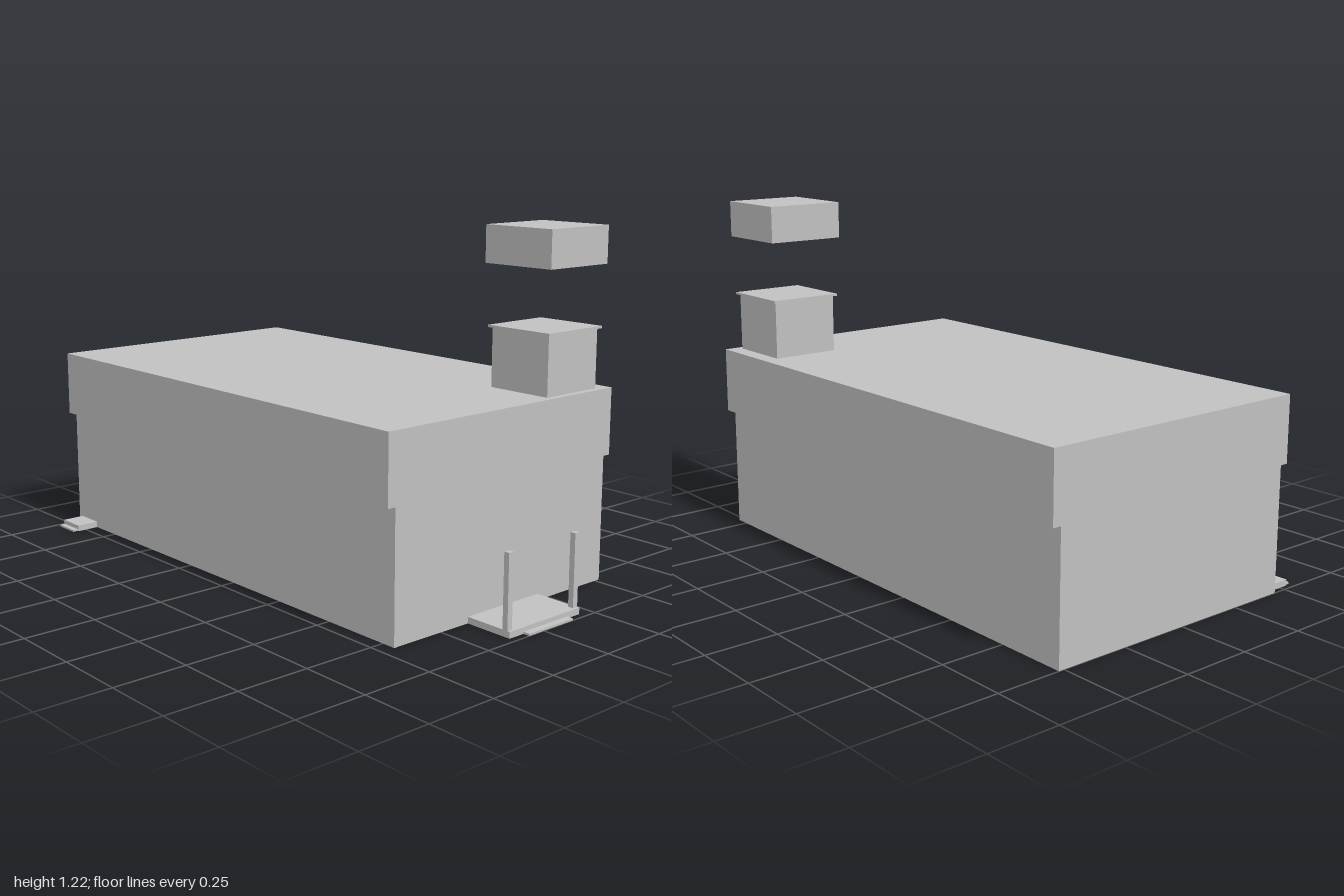
import * as THREE from 'three';

export function createModel() {
  const model = new THREE.Group();
  model.name = 'house';
  const grey = new THREE.MeshStandardMaterial({ color: 0xc0c0c0 });
  grey.name = 'light grey';

  // Box given by its extents along each axis
  const box = (name, [x0, x1], [y0, y1], [z0, z1]) => {
    const geometry = new THREE.BoxGeometry(x1 - x0, y1 - y0, z1 - z0);
    const mesh = new THREE.Mesh(geometry, grey);
    mesh.name = name;
    mesh.position.set((x0 + x1) / 2, (y0 + y1) / 2, (z0 + z1) / 2);
    model.add(mesh);
  };

  // Main building with a wider flat roof block
  box('walls', [-0.45, 0.52], [0, 0.44], [-1, 0.8]);
  box('roofBlock', [-0.48, 0.55], [0.438, 0.671], [-1, 0.8]);

  // Chimney with a thin cap and a separate block hovering above
  box('chimney', [0.249, 0.494], [0.671, 0.875], [0.53, 0.775]);
  box('chimneyCap', [0.238, 0.505], [0.875, 0.883], [0.519, 0.786]);
  box('floatingBlock', [0.229, 0.512], [1.09, 1.218], [0.51, 0.793]);

  // Front porch, low step and two posts
  box('porch', [-0.131, 0.2], [0, 0.022], [0.8, 0.976]);
  box('porchStep', [-0.068, 0.14], [0, 0.007], [0.976, 1]);
  for (const x of [-0.131, 0.18]) {
    box('porchPost', [x, x + 0.021], [0.022, 0.271], [0.946, 0.966]);
  }

  // Side doorstep near the back
  box('sideDoorstep', [-0.533, -0.45], [0, 0.022], [-0.981, -0.875]);
  box('sideStep', [-0.553, -0.533], [0, 0.007], [-0.976, -0.88]);

  return model;
}
